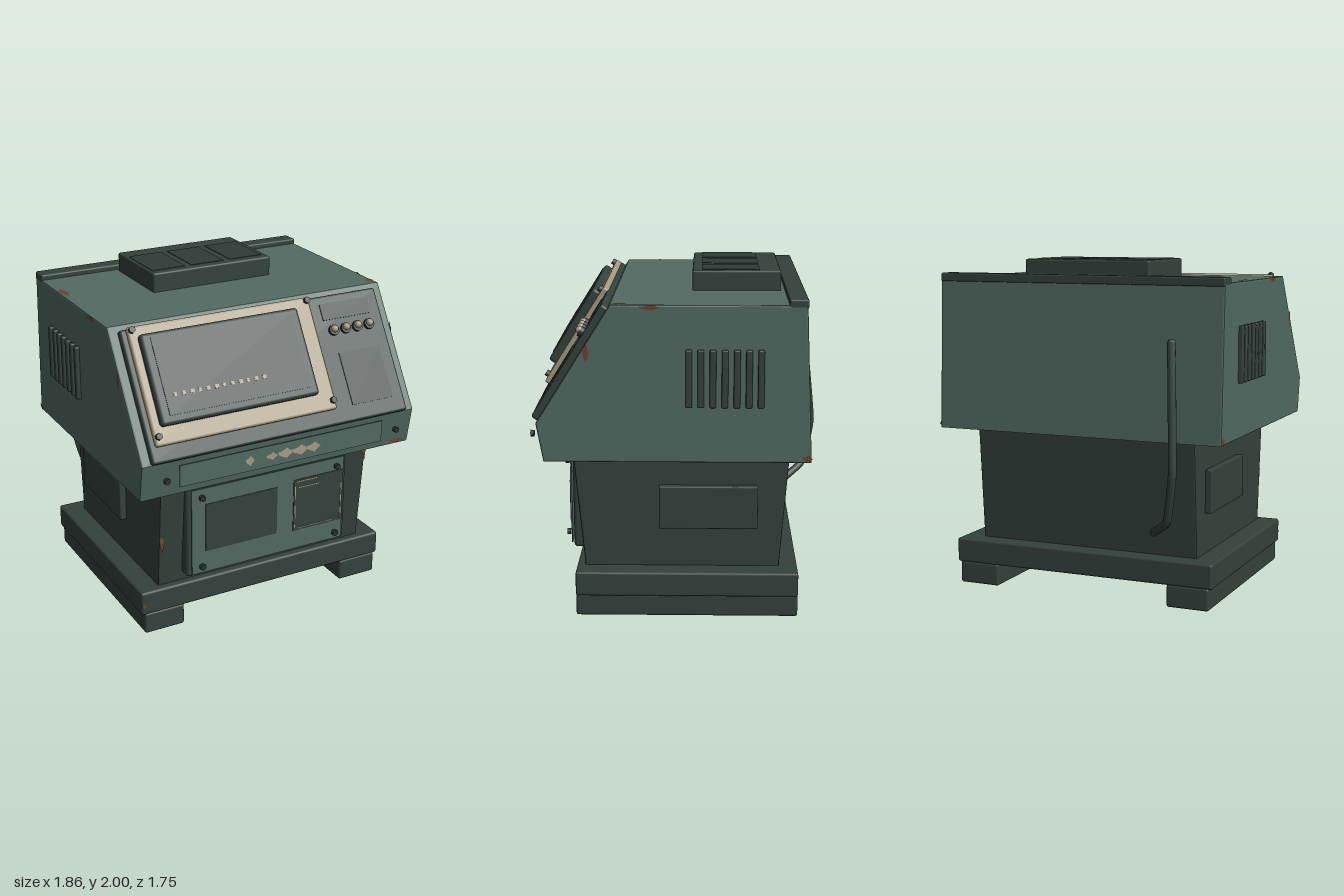
import * as THREE from 'three';
import { RoundedBoxGeometry } from 'three/addons/geometries/RoundedBoxGeometry.js';

const flat = (name, color, side = THREE.FrontSide) => {
  const m = new THREE.MeshStandardMaterial({ color, side });
  m.name = name;
  return m;
};

export function createModel() {
  const teal = flat('tealPaint', 0x526a62);
  const dark = flat('darkPaint', 0x34423c);
  const glass = flat('darkGlass', 0x2f3c37);
  const beige = flat('agedBeige', 0xa69a82);
  const rust = flat('rust', 0x6e4230, THREE.DoubleSide);
  const steel = flat('boltSteel', 0x29332f);

  const model = new THREE.Group();
  model.name = 'consoleCabinet';

  const add = (parent, name, geometry, material, x = 0, y = 0, z = 0) => {
    const mesh = new THREE.Mesh(geometry, material);
    mesh.name = name;
    mesh.position.set(x, y, z);
    parent.add(mesh);
    return mesh;
  };

  // Box given by its extents; r > 0 rounds the edges
  const block = (parent, name, material, [x0, x1], [y0, y1], [z0, z1], r = 0) => {
    const size = [x1 - x0, y1 - y0, z1 - z0];
    const geometry = r ? new RoundedBoxGeometry(...size, 2, r) : new THREE.BoxGeometry(...size);
    return add(parent, name, geometry, material, (x0 + x1) / 2, (y0 + y1) / 2, (z0 + z1) / 2);
  };

  // Side profile of [z, y] points, extruded across the width with small bevels
  const profileBody = (name, material, points, halfWidth) => {
    const b = 0.01;
    const shape = new THREE.Shape(points.map(([z, y]) => new THREE.Vector2(z, y)));
    const geometry = new THREE.ExtrudeGeometry(shape, {
      depth: 2 * (halfWidth - b), bevelEnabled: true, bevelSize: b,
      bevelThickness: b, bevelOffset: -b, bevelSegments: 2,
    });
    geometry.translate(0, 0, -(halfWidth - b)).rotateY(-Math.PI / 2);
    return add(model, name, geometry, material);
  };

  const bolt = (parent, x, y, z, r = 0.02) =>
    add(parent, 'bolt', new THREE.CylinderGeometry(r, r, 0.022, 6).rotateX(Math.PI / 2), steel, x, y, z);

  // Base and feet
  block(model, 'basePlate', dark, [-0.835, 0.835], [0.13, 0.278], [-0.68, 0.63], 0.014);
  for (const s of [-1, 1]) {
    const edges = [s * 0.555, s * 0.815].sort((a, b) => a - b);
    block(model, 'foot', dark, edges, [0, 0.135], [-0.68, 0.63], 0.014);
  }

  // Pedestal flaring upward, and the wide head above it
  profileBody('pedestal', dark, [[-0.57, 0.27], [0.58, 0.27], [0.645, 0.985], [-0.625, 0.985]], 0.705);
  profileBody('head', teal, [[-0.735, 0.975], [0.79, 0.975], [0.83, 1.2], [0.4, 1.88], [-0.695, 1.88]], 0.905);

  // Roof: rear rail and raised hatch with three panels
  block(model, 'rearRail', dark, [-0.905, 0.905], [1.86, 1.912], [-0.7, -0.593], 0.01);
  block(model, 'roofHatch', dark, [-0.4, 0.4], [1.86, 1.997], [-0.57, -0.05], 0.012);
  for (const x of [-0.272, -0.01, 0.255])
    block(model, 'hatchPanel', glass, [x - 0.11, x + 0.11], [1.994, 2], [-0.445, -0.105]);

  // Vent slats on the head and access panels on the pedestal sides
  for (const s of [-1, 1]) {
    for (let i = 0; i < 7; i++)
      add(model, 'ventSlat', new RoundedBoxGeometry(0.04, 0.33, 0.037, 2, 0.008), dark,
        s * 0.911, 1.465, -0.037 - i * 0.0675);
    add(model, 'sidePanel', new RoundedBoxGeometry(0.06, 0.26, 0.58, 2, 0.008), dark, s * 0.715, 0.65, -0.15);
  }

  // Sloped console: local y runs up the slope, local z points out of it
  const slope = new THREE.Group();
  slope.name = 'slopedConsole';
  slope.position.set(0, 1.2, 0.83);
  slope.rotation.x = -Math.atan2(0.43, 0.68);
  model.add(slope);
  block(slope, 'consolePanel', dark, [-0.848, 0.84], [0, 0.77], [-0.03, 0.04], 0.014);
  block(slope, 'screenBezel', beige, [-0.815, 0.355], [0.09, 0.775], [0.03, 0.07], 0.014);
  block(slope, 'screenHousing', dark, [-0.77, 0.24], [0.19, 0.715], [0.06, 0.118], 0.02);
  block(slope, 'screenGlass', glass, [-0.715, 0.185], [0.238, 0.687], [0.114, 0.122]);
  for (let i = 0; i < 12; i++)
    block(slope, 'screenTick', beige, [-0.663 + i * 0.051, -0.645 + i * 0.051 + (i % 3) * 0.004],
      [0.338, 0.36], [0.12, 0.124]);
  for (const x of [-0.793, 0.335])
    for (const y of [0.142, 0.752]) bolt(slope, x, y, 0.08);

  // Controls beside the screen
  block(slope, 'upperControlPlate', glass, [0.43, 0.77], [0.62, 0.72], [0.038, 0.045]);
  block(slope, 'lowerControlPlate', glass, [0.475, 0.76], [0.093, 0.413], [0.038, 0.045]);
  for (const x of [0.48, 0.563, 0.645, 0.728]) {
    add(slope, 'knobCollar', new THREE.CylinderGeometry(0.032, 0.032, 0.022, 20).rotateX(Math.PI / 2),
      steel, x, 0.553, 0.05);
    add(slope, 'knob', new THREE.SphereGeometry(0.023, 16, 10), beige, x, 0.558, 0.064);
  }

  // Front trim plate with its worn paint
  block(model, 'trimPlate', teal, [-0.68, 0.67], [1.04, 1.172], [0.84, 0.846]);
  for (const x of [-0.77, 0.76]) bolt(model, x, 1.105, 0.866);

  // Pedestal door
  block(model, 'doorFrame', dark, [-0.55, 0.55], [0.33, 0.925], [0.57, 0.662], 0.02);
  block(model, 'doorPlate', teal, [-0.525, 0.52], [0.35, 0.905], [0.672, 0.679]);
  block(model, 'doorLeftInset', dark, [-0.435, 0.05], [0.49, 0.8], [0.677, 0.683]);
  block(model, 'doorRightInset', dark, [0.165, 0.515], [0.475, 0.82], [0.677, 0.683]);
  for (const [x0, x1, y0, y1] of [[0.172, 0.178, 0.5, 0.8], [0.5, 0.506, 0.49, 0.74],
    [0.18, 0.33, 0.803, 0.809], [0.2, 0.34, 0.762, 0.768], [0.2, 0.45, 0.488, 0.492]])
    block(model, 'insetOutline', beige, [x0, x1], [y0, y1], [0.682, 0.686]);
  for (const x of [-0.465, 0.46])
    for (const y of [0.4, 0.855]) bolt(model, x, y, 0.7);

  // Bent pipe on the back
  const path = [[-0.61, 1.545, -0.755], [-0.635, 1.22, -0.805], [-0.655, 0.82, -0.845],
    [-0.6, 0.53, -0.785], [-0.45, 0.42, -0.61]].map((p) => new THREE.Vector3(...p));
  const curve = new THREE.CatmullRomCurve3(path, false, 'catmullrom', 0.15);
  add(model, 'backPipe', new THREE.TubeGeometry(curve, 32, 0.025, 10), dark);
  for (const p of [path[0], path[4]])
    add(model, 'pipeEnd', new THREE.SphereGeometry(0.025, 10, 8), dark, p.x, p.y, p.z);

  // Ragged flakes laid just above a surface
  const flake = (name, material, x, y, z, w, h, rx = 0, ry = 0) => {
    const reach = [1, 0.7, 0.95, 0.6, 1, 0.8, 0.65, 0.95, 0.7];
    const shape = new THREE.Shape(reach.map((r, i) => {
      const a = (i / reach.length) * Math.PI * 2;
      return new THREE.Vector2(Math.cos(a) * r * w / 2, Math.sin(a) * r * h / 2);
    }));
    const mesh = add(model, name, new THREE.ShapeGeometry(shape), material, x, y, z);
    mesh.rotation.set(rx, ry, 0);
  };
  for (const [x, w, h] of [[-0.235, 0.06, 0.07], [-0.09, 0.08, 0.05], [0, 0.11, 0.07], [0.1, 0.12, 0.07], [0.19, 0.1, 0.07]])
    flake('wornPaint', beige, x, 1.105, 0.849, w, h);
  const side = Math.PI / 2, up = -Math.PI / 2;
  for (const s of [-1, 1]) {
    flake('rustFlake', rust, s * 0.907, 1.865, 0.18, 0.13, 0.035, 0, s * side);
    flake('rustFlake', rust, s * 0.907, 1, -0.71, 0.06, 0.05, 0, s * side);
    flake('rustFlake', rust, s * 0.907, 1.61, 0.54, 0.04, 0.13, 0, s * side);
    flake('rustFlake', rust, s * 0.875, 1.882, s < 0 ? -0.3 : 0.35, 0.05, s < 0 ? 0.18 : 0.08, up);
    flake('rustFlake', rust, s * 0.69, s < 0 ? 0.58 : 0.9, s < 0 ? 0.613 : 0.642, 0.03, 0.16, -0.09);
  }
  flake('rustFlake', rust, 0.82, 0.995, 0.797, 0.14, 0.03);
  flake('rustFlake', rust, -0.82, 0.19, 0.632, 0.03, 0.04);

  return model;
}
